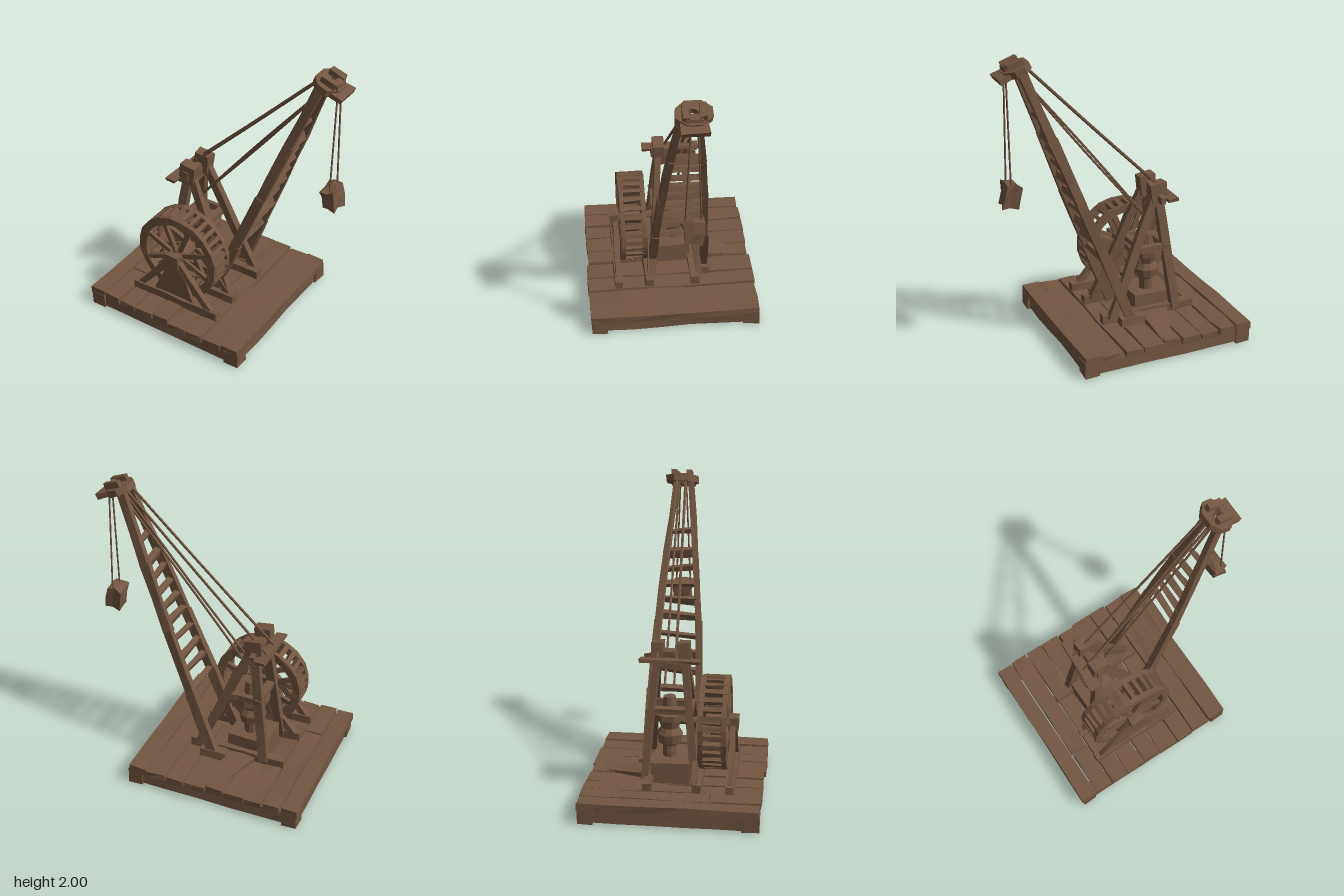
import * as THREE from 'three';

const V = (x, y, z) => new THREE.Vector3(x, y, z);
const wood = new THREE.MeshStandardMaterial({ color: 0x725642, flatShading: true });
wood.name = 'weathered wood';

// Repeatable noise from a position, so shared corners move together
function noise(x, y, z, k) {
  const s = Math.sin(x * 127.1 + y * 311.7 + z * 74.7 + k * 53.3) * 43758.5453;
  return (s - Math.floor(s)) * 2 - 1;
}

// Hand-hewn irregularity
function hew(geo, amount) {
  const p = geo.attributes.position;
  for (let i = 0; i < p.count; i++) {
    const q = [p.getX(i), p.getY(i), p.getZ(i)].map(v => Math.round(v * 1000) / 1000);
    p.setXYZ(i, ...q.map((v, k) => v + amount * noise(q[0], q[1], q[2], k + 1)));
  }
  geo.computeVertexNormals();
  return geo;
}

function add(parent, name, geo) {
  const m = new THREE.Mesh(geo, wood);
  m.name = name;
  parent.add(m);
  return m;
}

// Block given by its minimum and maximum corners
function block(parent, name, x0, x1, y0, y1, z0, z1, amount = 0.005) {
  const geo = new THREE.BoxGeometry(x1 - x0, y1 - y0, z1 - z0, x1 - x0 > 0.4 ? 5 : 1, 1, z1 - z0 > 0.4 ? 5 : 1);
  geo.translate((x0 + x1) / 2, (y0 + y1) / 2, (z0 + z1) / 2);
  return add(parent, name, hew(geo, amount));
}

// Timber from a to b: w measured along ref, h across it, tapering at b
function beam(parent, name, a, b, w, h, { ref = V(0, 0, 1), taper = 1, amount = 0.004 } = {}) {
  const dir = b.clone().sub(a), len = dir.length();
  dir.normalize();
  const side = ref.clone().addScaledVector(dir, -ref.dot(dir)).normalize();
  const geo = new THREE.BoxGeometry(h, len, w, 1, Math.max(1, Math.round(len / 0.2)), 1);
  const p = geo.attributes.position;
  for (let i = 0; i < p.count; i++) {
    const s = 1 + (taper - 1) * (p.getY(i) / len + 0.5);
    p.setX(i, p.getX(i) * s);
    p.setZ(i, p.getZ(i) * s);
  }
  const basis = new THREE.Matrix4().makeBasis(dir.clone().cross(side), dir, side);
  basis.setPosition(a.clone().add(b).multiplyScalar(0.5));
  return add(parent, name, hew(geo.applyMatrix4(basis), amount));
}

function rope(parent, name, a, b, r = 0.008, sag = 0) {
  const mid = a.clone().lerp(b, 0.5);
  mid.y -= sag;
  return add(parent, name, new THREE.TubeGeometry(new THREE.CatmullRomCurve3([a, mid, b]), 8, r, 5));
}

function group(parent, name) {
  const g = new THREE.Group();
  g.name = name;
  parent.add(g);
  return g;
}

// Flat polygon ring extruded along z
function ring(sides, outer, inner, depth) {
  const pts = r => Array.from({ length: sides }, (_, i) => {
    const a = ((i + 0.5) / sides) * Math.PI * 2;
    return new THREE.Vector2(Math.cos(a) * r, Math.sin(a) * r);
  });
  const s = new THREE.Shape(pts(outer));
  s.holes.push(new THREE.Path(pts(inner)));
  return new THREE.ExtrudeGeometry(s, { depth, bevelEnabled: false });
}

function buildPlatform(root) {
  const g = group(root, 'platform');
  const planks = [[-0.78, -0.67], [-0.66, -0.54], [-0.53, -0.41], [-0.4, -0.27], [-0.26, -0.14],
    [-0.13, 0.01], [0.02, 0.14], [0.15, 0.285], [0.29, 0.42]];
  planks.forEach(([a, b], i) => {
    const e = 0.565 + 0.01 * noise(i, 2, 3, 1), top = 0.135 + 0.006 * noise(i, 5, 1, 2);
    if (i === 1) {
      block(g, 'plank', a, b, 0.09, top, -e, 0.24);
      block(g, 'plank', a, b, 0.09, top, 0.255, e);
    } else block(g, 'plank', a, b, 0.09, top, -e, e);
  });
  // Perimeter frame and corner blocks
  for (const s of [-1, 1]) {
    block(g, 'frameBeam', -0.75, 0.39, 0.01, 0.1, s * 0.51 - 0.045, s * 0.51 + 0.045);
    block(g, 'frameBeam', -0.18 + s * 0.54 - 0.045, -0.18 + s * 0.54 + 0.045, 0.01, 0.1, -0.5, 0.5);
    for (const x of [-0.725, 0.37])
      block(g, 'cornerBlock', x - 0.05, x + 0.05, 0, 0.105, s * 0.515 - 0.052, s * 0.515 + 0.052);
  }
  // Sills and loose sloping board
  for (const z of [0.365, 0.155, -0.16]) block(g, 'sill', -0.54, 0.13, 0.13, 0.19, z - 0.028, z + 0.028);
  block(g, 'boomFootBlock', -0.15, 0.03, 0.13, 0.185, -0.27, -0.2);
  beam(g, 'slopingBoard', V(-0.24, 0.155, -0.18), V(-0.17, 0.13, -0.54), 0.2, 0.03, { ref: V(1, 0, 0), taper: 0.35 });
}

function buildWheel(root) {
  const g = group(root, 'treadWheel');
  g.position.set(-0.21, 0.5, 0.25);
  for (const z of [-0.09, 0.058]) {
    add(g, 'rim', hew(ring(20, 0.307, 0.252, 0.032).translate(0, 0, z), 0.004));
    for (let i = 0; i < 8; i++) {
      const a = ((i + 0.5) / 8) * Math.PI * 2, c = Math.cos(a), s = Math.sin(a);
      beam(g, 'spoke', V(c * 0.03, s * 0.03, z + 0.016), V(c * 0.265, s * 0.265, z + 0.016), 0.024, 0.034);
    }
  }
  // Treads around the drum
  for (let i = 0; i < 30; i++) {
    const a = (i / 30) * Math.PI * 2;
    const geo = new THREE.BoxGeometry(0.045, 0.03, 0.15).translate(0.282, 0, 0).rotateZ(a);
    add(g, 'tread', hew(geo, 0.004));
  }
  add(g, 'hub', new THREE.CylinderGeometry(0.055, 0.055, 0.19, 8).rotateX(Math.PI / 2));
  add(g, 'axle', new THREE.CylinderGeometry(0.028, 0.028, 0.48, 8).rotateX(Math.PI / 2).translate(0, 0, -0.09));

  // Bearing stands on both sides
  const stand = group(root, 'wheelStand');
  block(stand, 'bearing', -0.255, -0.165, 0.455, 0.545, 0.345, 0.4);
  for (const z of [0.365, 0.14])
    for (const s of [-1, 1])
      beam(stand, 'strut', V(-0.21 + s * 0.28, 0.18, z), V(-0.21 + s * 0.02, 0.49, z), 0.035, 0.045);
  const plate = new THREE.Shape([[-0.38, 0.18], [-0.06, 0.18], [-0.165, 0.47], [-0.245, 0.47]].map(p => new THREE.Vector2(...p)));
  add(stand, 'supportPlate', new THREE.ExtrudeGeometry(plate, { depth: 0.022, bevelEnabled: false }).translate(0, 0, 0.35));
}

function buildMast(root) {
  const g = group(root, 'mast');
  for (const s of [-1, 1]) {
    const zt = -0.03 + s * 0.085, zb = -0.03 + s * 0.165;
    beam(g, 'rearLeg', V(-0.4, 0.16, zb), V(-0.295, 0.98, zt), 0.045, 0.06);
    beam(g, 'frontLeg', V(0.07, 0.16, zb), V(-0.27, 0.97, zt), 0.045, 0.055);
    beam(g, 'collar', V(-0.37, 0.61, zb - s * 0.04), V(-0.14, 0.61, zb - s * 0.04), 0.035, 0.045);
    beam(g, 'mastHead', V(-0.3, 0.92, zt), V(-0.285, 1.06, zt), 0.075, 0.11);
  }
  beam(g, 'headBeam', V(-0.3, 0.98, 0.1), V(-0.3, 0.95, -0.2), 0.05, 0.07, { ref: V(1, 0, 0), taper: 0.7 });
  beam(g, 'ropeBar', V(-0.375, 0.955, 0.16), V(-0.365, 0.955, -0.22), 0.07, 0.022, { ref: V(1, 0, 0) });
  beam(g, 'crossBoard', V(-0.3, 0.9, 0.07), V(-0.3, 0.92, -0.13), 0.04, 0.06, { ref: V(1, 0, 0) });

  // Capstan between the mast legs
  const c = group(root, 'capstan');
  block(c, 'capstanBase', -0.4, -0.12, 0.13, 0.275, -0.15, 0.1);
  const profile = [[0, 0.27], [0.045, 0.27], [0.045, 0.35], [0.075, 0.37], [0.085, 0.43], [0.06, 0.47],
    [0.075, 0.52], [0.125, 0.54], [0.125, 0.58], [0.05, 0.59], [0.04, 0.68], [0, 0.68]];
  add(c, 'capstanDrum', new THREE.LatheGeometry(profile.map(p => new THREE.Vector2(...p)), 10).translate(-0.25, 0, -0.045));
  for (const x of [-0.34, -0.17])
    beam(c, 'capstanTie', V(x, 0.61, 0.12), V(x, 0.61, -0.18), 0.05, 0.04, { ref: V(1, 0, 0) });
}

// Point on a boom side rail at height y; s is +1 or -1
const railPoint = (y, s) => {
  const t = (y - 0.14) / 1.76;
  return V(-0.06 + 0.68 * t, y, -0.055 + s * (0.185 - 0.135 * t + 0.02 * Math.sin(Math.PI * t)));
};

function buildBoom(root) {
  const g = group(root, 'boom');
  for (const s of [-1, 1])
    for (let i = 0; i < 4; i++)
      beam(g, 'sideRail', railPoint(0.14 + i * 0.44, s), railPoint(0.59 + i * 0.44, s), 0.045 - i * 0.002, 0.066 - i * 0.003);
  [0.6, 0.72, 0.82, 0.94, 1.06, 1.16, 1.26, 1.36, 1.46, 1.6].forEach((y, i) => {
    const k = 0.015 * noise(i, 1, 4, 2);
    beam(g, 'rung', railPoint(y + k, 1), railPoint(y - k, -1), 0.04, 0.03 + 0.012 * (i % 3), { ref: V(1, 0.3, 0), taper: i % 2 ? 0.7 : 1.1 });
  });

  // Pulley head
  const head = group(root, 'pulleyHead');
  head.position.set(0.65, 1.925, -0.07);
  head.rotation.z = -0.36;
  const plate = ring(8, 0.115, 0.03, 0.045).rotateX(-Math.PI / 2).scale(0.82, 1, 1).translate(0, -0.02, 0);
  add(head, 'headPlate', hew(plate, 0.005));
  block(head, 'nosePlate', 0.06, 0.135, -0.022, 0.012, -0.08, 0.08);
  for (const s of [-1, 1]) block(head, 'cheek', -0.045, 0.06, 0.01, 0.065, s * 0.05 - 0.02, s * 0.05 + 0.02);
  add(head, 'pulley', new THREE.CylinderGeometry(0.03, 0.03, 0.1, 8).rotateX(Math.PI / 2).translate(0.045, 0.025, 0));
}

function buildRigging(root) {
  const g = group(root, 'rigging');
  for (const s of [-1, 1]) {
    rope(g, 'stayRope', V(-0.38, 0.96, -0.05 + s * 0.06), V(0.6, 1.945, -0.07 + s * 0.03), 0.009, 0.005);
    rope(g, 'hoistRope', V(-0.27, 0.76, -0.045 + s * 0.03), V(0.65, 1.91, -0.07 + s * 0.02), 0.008, s * 0.012);
    rope(g, 'loadRope', V(0.718, 1.9, -0.07 + s * 0.02), V(0.718, 1.16, -0.07 + s * 0.05), 0.006);
  }
  // Rough stone load, wider at the top
  const stone = new THREE.BoxGeometry(0.1, 0.15, 0.13, 2, 2, 2);
  const p = stone.attributes.position;
  for (let i = 0; i < p.count; i++) {
    const k = 0.92 + p.getY(i) * 2.2;
    p.setXYZ(i, p.getX(i) * (0.95 + p.getY(i)), p.getY(i), p.getZ(i) * k);
  }
  const load = add(g, 'stoneLoad', hew(stone, 0.014));
  load.position.set(0.715, 1.125, -0.07);
  load.rotation.z = 0.12;
}

export function createModel() {
  const root = new THREE.Group();
  root.name = 'treadwheelCrane';
  buildPlatform(root);
  buildWheel(root);
  buildMast(root);
  buildBoom(root);
  buildRigging(root);
  return root;
}
